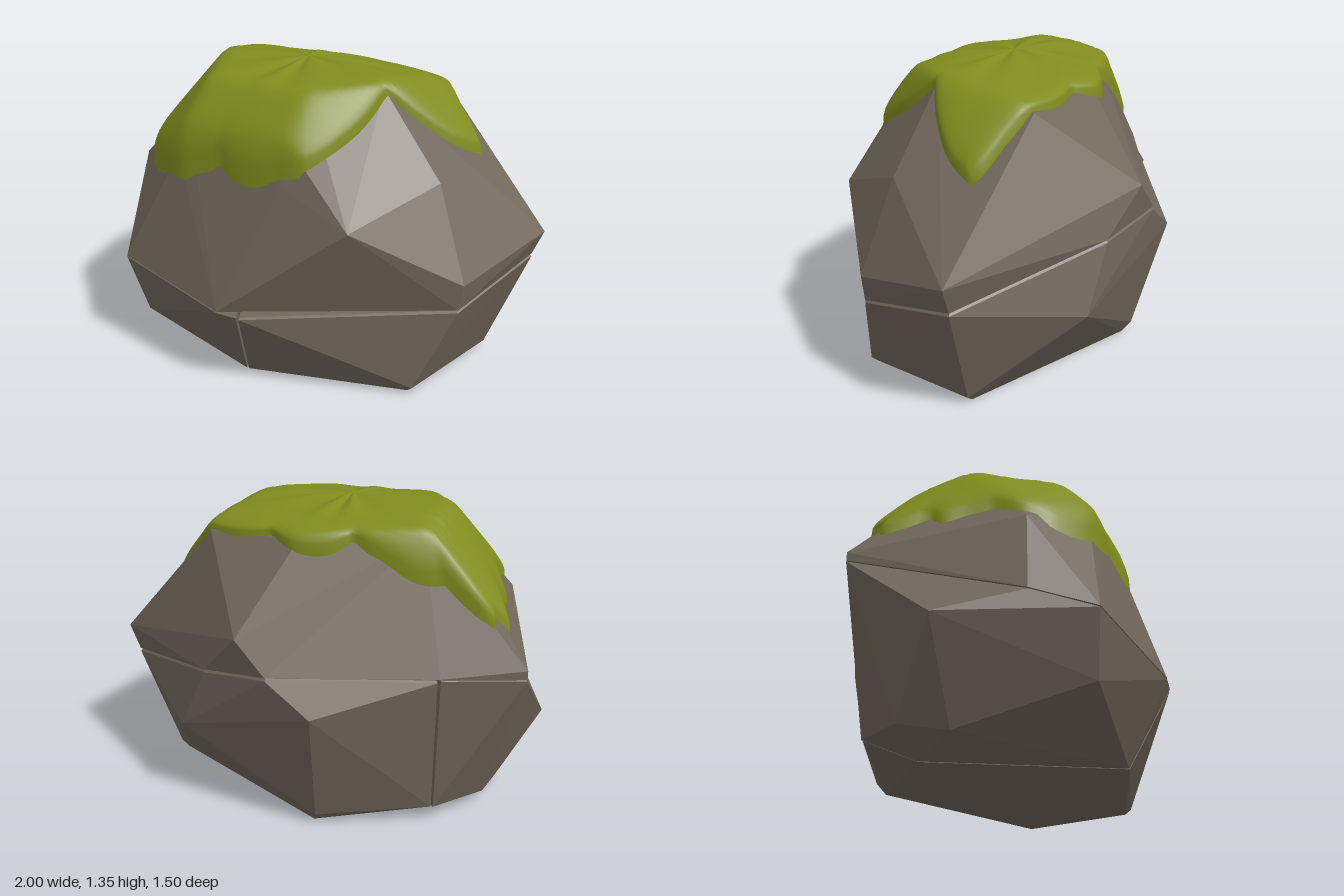
import * as THREE from 'three';
import { ConvexGeometry } from 'three/addons/geometries/ConvexGeometry.js';

const rock = new THREE.MeshStandardMaterial({ color: 0x70675a });
rock.name = 'brown grey rock';
const moss = new THREE.MeshStandardMaterial({ color: 0x808c1e, side: THREE.DoubleSide });
moss.name = 'moss green';

// Tilted crack that splits the boulder into an upper and a lower half
const crackY = (x, z) => 0.37 + 0.25 * (0.75 - z) - 0.08 * (x + 0.12);
const GAP = 0.002;

function hull(name, points) {
  const mesh = new THREE.Mesh(new ConvexGeometry(points.map(p => new THREE.Vector3(...p))), rock);
  mesh.name = name;
  return mesh;
}

// Points along the crack; a bevel softens the lower edge
const rimUp = ring => ring.map(([x, z]) => [x, crackY(x, z) + GAP, z]);
const rimDown = (ring, bevel) => ring.flatMap(([x, z]) => {
  const k = 1 - bevel;
  return [[x * k, crackY(x, z) - GAP, z * k], [x, crackY(x, z) - GAP - bevel, z]];
});

const rightRim = [[0.80, 0.29], [0.95, -0.19], [0.36, -0.63], [0.03, -0.73]];
const leftRim = [[-0.97, -0.34], [-0.83, 0.38], [-0.72, 0.63], [-0.12, 0.75]];

// Height of the upper rock's surface, pushed outward by off and softened at the edges
function makeHeight(geometry) {
  const p = geometry.attributes.position, planes = [];
  const a = new THREE.Vector3(), b = new THREE.Vector3(), c = new THREE.Vector3();
  for (let i = 0; i < p.count; i += 3) {
    a.fromBufferAttribute(p, i);
    b.fromBufferAttribute(p, i + 1);
    c.fromBufferAttribute(p, i + 2);
    const n = b.clone().sub(a).cross(c.clone().sub(a)).normalize();
    if (n.y > 0.03) planes.push({ n, d: n.dot(a) });
  }
  const k = 0.012;
  return (x, z, off) => {
    const h = planes.map(({ n, d }) => (d + off - n.x * x - n.z * z) / n.y);
    const m = Math.min(...h);
    return m - k * Math.log(h.reduce((s, v) => s + Math.exp((m - v) / k), 0));
  };
}

// Ragged outline of the moss: x, z and lowest height
const outline = [
  [0.72, -0.18, 0.95], [0.62, -0.02, 1.02], [0.52, 0.08, 1.12], [0.38, 0.16, 1.24], [0.35, 0.30, 1.14],
  [0.33, 0.42, 1.08], [0.20, 0.55, 0.97], [0.08, 0.58, 0.93], [-0.22, 0.59, 0.95], [-0.32, 0.59, 0.90],
  [-0.41, 0.60, 0.85], [-0.55, 0.56, 0.86], [-0.72, 0.45, 0.86], [-0.80, 0.35, 0.92], [-0.73, 0.20, 0.98],
  [-0.80, 0.10, 0.95], [-0.86, 0.00, 0.90], [-0.81, -0.07, 0.96], [-0.90, -0.26, 0.86], [-0.80, -0.27, 0.94],
  [-0.82, -0.32, 0.89], [-0.60, -0.32, 1.06], [-0.40, -0.38, 1.12], [-0.22, -0.35, 1.2],
  [-0.14, -0.41, 1.18], [0.01, -0.45, 1.18], [0.14, -0.37, 1.22], [0.26, -0.37, 1.2],
  [0.42, -0.32, 1.18], [0.56, -0.25, 1.09],
];

function mossCap(height) {
  const cx = -0.1, cz = 0, segs = 120, rings = 20;
  // Outline in polar form, each point slid out until the rock falls to its height
  const polar = outline.map(([x, z, y]) => {
    const angle = Math.atan2(z - cz, x - cx);
    let lo = 0.1, hi = Math.hypot(x - cx, z - cz) + 0.015;
    for (let i = 0; i < 24; i++) {
      const r = (lo + hi) / 2;
      if (height(cx + r * Math.cos(angle), cz + r * Math.sin(angle), 0) > y) lo = r; else hi = r;
    }
    return { angle, r: lo };
  }).sort((p, q) => p.angle - q.angle);
  const radius = a => {
    let i = polar.findIndex(p => p.angle > a);
    if (i < 0) i = polar.length;
    const q = polar[i % polar.length], p = polar[(i + polar.length - 1) % polar.length];
    const span = (q.angle - p.angle + 2 * Math.PI) % (2 * Math.PI);
    const t = ((a - p.angle + 2 * Math.PI) % (2 * Math.PI)) / span;
    return p.r + (q.r - p.r) * t;
  };
  const pos = [], index = [];
  for (let j = 0; j <= rings; j++) {
    const u = j / rings;
    const t = 1 - (1 - u) ** 1.6;
    for (let i = 0; i < segs; i++) {
      const a = -Math.PI + (i / segs) * 2 * Math.PI;
      const r = radius(a) * t;
      const x = cx + r * Math.cos(a), z = cz + r * Math.sin(a);
      // Thick in the middle, tucked into the rock at the rim, with faint radial creases
      const thick = 0.05 * Math.sqrt(Math.max(0, 1 - u ** 6)) - (j === rings ? 0.004 : 0);
      const crease = 0.008 * Math.sin(9 * a + Math.sin(4 * a)) * Math.sin(Math.PI * Math.min(1, t * 1.2));
      pos.push(x, height(x, z, thick) + crease * (1 - u), z);
      if (j < rings) {
        const i2 = (i + 1) % segs, b = j * segs, n = b + segs;
        if (j > 0) index.push(b + i, b + i2, n + i);
        index.push(b + i2, n + i2, n + i);
      }
    }
  }
  const g = new THREE.BufferGeometry();
  g.setAttribute('position', new THREE.Float32BufferAttribute(pos, 3));
  g.setIndex(index);
  g.computeVertexNormals();
  const mesh = new THREE.Mesh(g, moss);
  mesh.name = 'mossCap';
  return mesh;
}

export function createModel() {
  const group = new THREE.Group();
  group.name = 'mossyBoulder';

  // Upper rock
  const upper = hull('upperRock', [
    ...rimUp([...rightRim, [-0.64, -0.48], ...leftRim]),
    [1, 0.64, -0.19], [0.82, 0.53, 0.29], [0.43, 0.79, 0.59], [-0.97, 0.75, -0.34],
    [0.17, 0.87, -0.71], [0.66, 0.93, 0.21], [0.36, 1.28, 0.15], [0.45, 1.21, -0.33],
    [0.0, 1.23, -0.42], [-0.5, 1.26, -0.28], [-0.52, 1.31, 0.0], [-0.1, 1.32, -0.05],
    [-0.36, 1.26, 0.36], [0.12, 1.26, 0.36], [-0.78, 0.88, 0.36],
    [-0.4, 1.08, 0.51], [0.1, 1.1, 0.51], [-0.4, 0.88, 0.57], [0.1, 0.93, 0.57],
  ]);
  group.add(upper);

  // Lower blocks, parted by an upright crack
  group.add(hull('lowerRightRock', [
    ...rimDown([[-0.015, 0.735], ...rightRim, [-0.632, -0.493]], 0.01),
    [-0.17, 0.58, -0.75], [0.5, 0.38, -0.6],
    [-0.095, 0, 0.56], [0.61, 0, 0.36], [0.64, 0.03, 0.38], [0.72, 0, -0.17], [0.76, 0.03, -0.17],
    [-0.12, 0, -0.57], [-0.14, 0.05, -0.61], [-0.61, 0.08, -0.42], [-0.5, 0, -0.22],
  ]));
  group.add(hull('lowerLeftRock', [
    ...rimDown([[-0.025, 0.74], ...leftRim, [-0.645, -0.493]], 0.002),
    [-1, 0.4, 0.05], [-0.64, 0.18, 0.59], [-0.79, 0.06, -0.18], [-0.8, 0, 0.06],
    [-0.2, 0, 0.5], [-0.105, 0, 0.56], [-0.62, 0.08, -0.42], [-0.51, 0, -0.22],
  ]));

  group.add(mossCap(makeHeight(upper.geometry)));
  return group;
}
